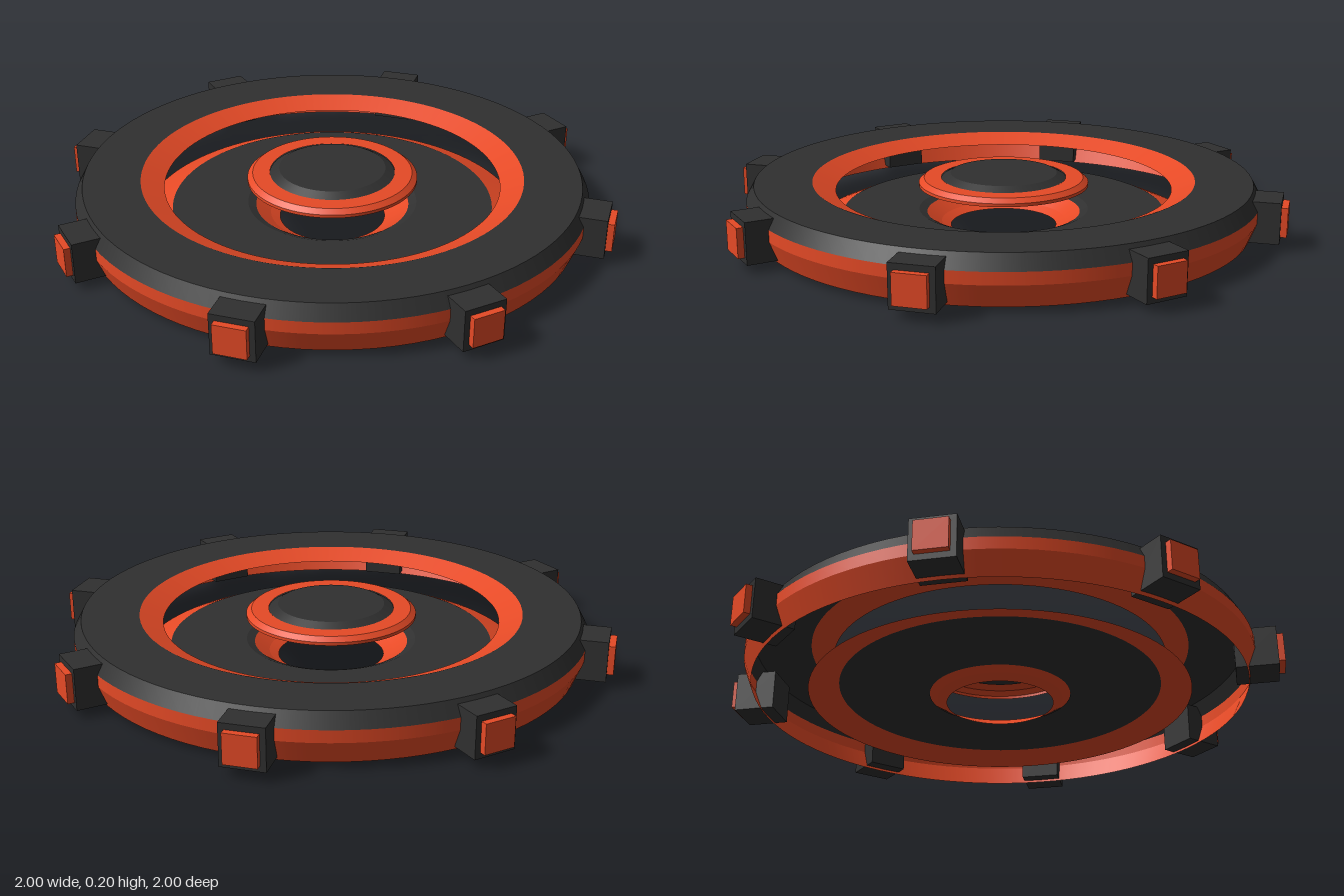
import * as THREE from 'three';

export function createModel() {
  const model = new THREE.Group();
  const dark = new THREE.MeshStandardMaterial({ name: 'charcoal', color: 0x303030, side: THREE.DoubleSide });
  const orange = new THREE.MeshStandardMaterial({ name: 'orange', color: 0xe64a26, side: THREE.DoubleSide });

  // Turned shell: each profile segment is its own band so that edges stay sharp
  function turned(name, material, profile) {
    const part = new THREE.Group();
    part.name = name;
    for (let i = 0; i < profile.length - 1; i++) {
      const points = [profile[i], profile[i + 1]].map(([r, y]) => new THREE.Vector2(r, y));
      const band = new THREE.Mesh(new THREE.LatheGeometry(points, 96), material);
      band.name = name + 'Band';
      part.add(band);
    }
    model.add(part);
  }

  // Outer rim: open underneath, with a sloping collar around the opening
  turned('rimSkirt', orange, [[0.925, 0.018], [0.957, 0.1], [0.957, 0.144]]);
  turned('rimTop', dark, [[0.957, 0.144], [0.928, 0.197], [0.716, 0.194]]);
  turned('rimCollar', orange, [[0.716, 0.194], [0.63, 0.157]]);

  // Sunken disc with its flared edge
  turned('discUnderside', dark, [[0.295, 0.05], [0.605, 0.05]]);
  turned('discEdge', orange, [[0.605, 0.05], [0.718, 0.018], [0.605, 0.067]]);
  turned('discTop', dark, [[0.605, 0.067], [0.32, 0.067], [0.29, 0.055]]);

  // Lower hub: funnel around the centre hole
  turned('hubCollar', dark, [[0.265, 0.035], [0.295, 0.05]]);
  turned('hubFunnel', orange, [[0.2, 0], [0.235, 0.018], [0.29, 0.055]]);

  // Raised hub ring and domed cap
  turned('hubRing', orange, [[0.32, 0.16], [0.32, 0.172], [0.3, 0.188], [0.235, 0.188]]);
  turned('hubCap', dark, [[0.235, 0.185], [0.2, 0.204], [0, 0.205]]);

  // Eight teeth around the rim, each with a coloured end plate
  const toothGeometry = new THREE.BoxGeometry(0.155, 0.152, 0.155);
  const plateGeometry = new THREE.BoxGeometry(0.115, 0.108, 0.026);
  for (let i = 0; i < 8; i++) {
    const tooth = new THREE.Group();
    tooth.name = 'tooth' + (i + 1);
    const block = new THREE.Mesh(toothGeometry, dark);
    block.name = 'toothBlock';
    block.position.set(0, 0.106, 0.957);
    const plate = new THREE.Mesh(plateGeometry, orange);
    plate.name = 'toothEndPlate';
    plate.position.set(0, 0.106, 1.045);
    tooth.add(block, plate);
    tooth.rotation.y = (i + 0.5) * Math.PI / 4;
    model.add(tooth);
  }

  return model;
}
